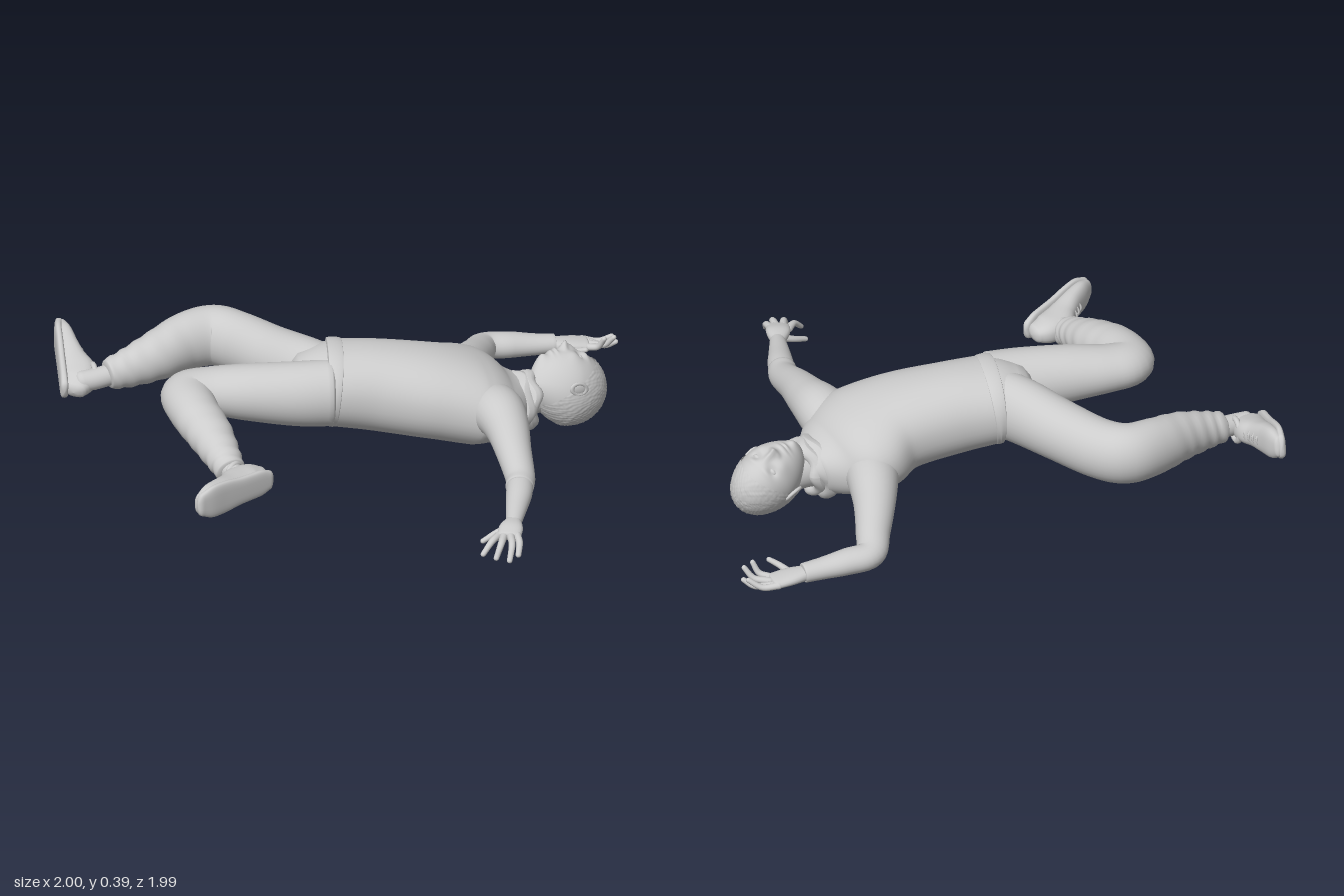
import * as THREE from 'three';

const mat = new THREE.MeshStandardMaterial({ color: 0xcccccc, roughness: 0.8, side: THREE.DoubleSide });
const V = (a) => new THREE.Vector3(a[0], a[1], a[2]);

function add(parent, name, geo) {
  const m = new THREE.Mesh(geo, mat);
  m.name = name;
  parent.add(m);
  return m;
}

// Smooth skin over elliptical sections [x, y, z, halfWidth, halfHeight], with rounded ends
function loft(secs, { n = 28, steps = 7, up = [0, 1, 0], pow = 2, cap = 0.6, fold = null } = {}) {
  const path = new THREE.CatmullRomCurve3(secs.map(V), false, 'catmullrom');
  const size = new THREE.CatmullRomCurve3(secs.map((s) => new THREE.Vector3(s[3], s[4], 0)), false, 'catmullrom');
  const rings = [];
  const total = (secs.length - 1) * steps;
  const ring = (u, angle, sign) => {
    const s = size.getPoint(u), t = path.getTangent(u);
    const c = path.getPoint(u).addScaledVector(t, sign * Math.sin(angle) * Math.min(s.x, s.y) * cap);
    const k = Math.max(Math.cos(angle), 0.002);
    rings.push({ u, c, t, a: s.x * k, b: s.y * k });
  };
  for (let k = 4; k > 0; k--) ring(0, (k / 4) * Math.PI / 2, -1);
  for (let j = 0; j <= total; j++) ring(j / total, 0, 0);
  for (let k = 1; k <= 4; k++) ring(1, (k / 4) * Math.PI / 2, 1);

  const pos = [], idx = [];
  rings.forEach((r, j) => {
    const side = r.t.clone().cross(V(up)).normalize();
    const nrm = side.clone().cross(r.t);
    for (let i = 0; i < n; i++) {
      const q = (i / n) * Math.PI * 2;
      const f = fold ? 1 + fold(r.u, q) : 1;
      const e = (v) => Math.sign(v) * Math.abs(v) ** (2 / pow) * f;
      const p = r.c.clone().addScaledVector(side, r.a * e(Math.cos(q))).addScaledVector(nrm, r.b * e(Math.sin(q)));
      pos.push(p.x, p.y, p.z);
      if (j < rings.length - 1) {
        const i2 = (i + 1) % n, a = j * n + i, b = a + n, c = (j + 1) * n + i2, d = j * n + i2;
        idx.push(a, b, d, b, c, d);
      }
    }
  });
  const g = new THREE.BufferGeometry();
  g.setAttribute('position', new THREE.Float32BufferAttribute(pos, 3));
  g.setIndex(idx);
  g.computeVertexNormals();
  return g;
}

// Group whose local +y and +z point along the given directions
function oriented(name, origin, up, front) {
  const g = new THREE.Group();
  g.name = name;
  const z = V(front).normalize();
  const x = V(up).cross(z).normalize();
  g.quaternion.setFromRotationMatrix(new THREE.Matrix4().makeBasis(x, z.clone().cross(x), z));
  g.position.copy(V(origin));
  return g;
}

// Gathered cloth, strongest near the end of a limb
const gathers = (u, q) => 0.05 * Math.max(0, u - 0.6) * 2.5 * Math.sin(u * 85 + 1.5 * Math.sin(q * 2));

// Shoe: length along z from the heel, sole on y = 0
function shoe(name, heel, up, front) {
  const g = oriented(name, heel, up, front);
  const prof = [[0.015, 0.09, 0.03], [0.05, 0.118, 0.041], [0.1, 0.125, 0.043], [0.15, 0.1, 0.045],
    [0.21, 0.078, 0.052], [0.27, 0.062, 0.052], [0.315, 0.045, 0.036]];
  add(g, 'shoeUpper', loft(prof.map(([z, h, w]) => [0, h / 2 + 0.004, z, w, h / 2 - 0.004]), { pow: 2.4, cap: 0.7 }));
  add(g, 'shoeSole', loft(prof.map(([z, h, w]) => [0, 0.013 + (z > 0.3 ? 0.005 : 0), z, w + 0.005, 0.014]), { pow: 3, cap: 1.2 }));
  for (let i = 0; i < 4; i++) {
    const z = 0.145 + i * 0.022, h = 0.104 - i * 0.0085;
    add(g, 'lace', new THREE.TubeGeometry(new THREE.CatmullRomCurve3(
      [V([-0.026, h - 0.012, z]), V([0, h + 0.002, z + 0.005]), V([0.026, h - 0.012, z])]), 8, 0.004, 6));
  }
  const collar = add(g, 'shoeCollar', new THREE.TorusGeometry(0.038, 0.01, 10, 28));
  collar.position.set(0, 0.116, 0.075);
  collar.rotation.x = Math.PI / 2 + 0.12;
  return g;
}

// Hand: palm sections plus fingers given as base, middle and tip
function hand(name, palm, fingers) {
  const g = new THREE.Group();
  g.name = name;
  add(g, 'palm', loft(palm, { n: 20, pow: 2.3 }));
  fingers.forEach((f, i) => add(g, i ? 'finger' : 'thumb',
    loft(f.map((p, k) => [...p, 0.0135 - k * 0.002, 0.0125 - k * 0.002]), { n: 12, steps: 5, cap: 1 })));
  return g;
}

function buildHead() {
  const g = oriented('head', [0.345, 0.152, -0.535], [0.25, -0.4, -0.88], [-0.25, 0.87, -0.42]);
  // Sculpted face: [x, y, spreadX, spreadY, depth], mirrored in x
  const bumps = [[0, -0.012, 0.011, 0.026, 0.016], [0, -0.03, 0.014, 0.011, 0.02], [0.017, -0.034, 0.008, 0.008, 0.007],
    [0.038, 0.014, 0.018, 0.012, -0.013], [0.035, 0.038, 0.022, 0.008, 0.005], [0, -0.067, 0.022, 0.006, 0.011],
    [0, -0.081, 0.02, 0.006, 0.011], [0, -0.074, 0.025, 0.003, -0.005], [0, -0.118, 0.025, 0.018, 0.02],
    [0.055, -0.02, 0.02, 0.02, 0.006]];
  const skull = new THREE.SphereGeometry(1, 120, 90);
  const p = skull.attributes.position;
  for (let i = 0; i < p.count; i++) {
    let x = p.getX(i) * 0.1, y = p.getY(i) * 0.143, z = p.getZ(i) * 0.125;
    const low = Math.max(0, -y / 0.143);
    x *= 1 - 0.25 * low ** 1.5;
    if (z < 0) z *= 1 - 0.35 * low;
    else {
      const front = Math.min(1, z / 0.05);
      for (const [bx, by, sx, sy, d] of bumps)
        for (const s of bx ? [-1, 1] : [1])
          z += front * d * Math.exp(-(((x - s * bx) / sx) ** 2) - ((y - by) / sy) ** 2);
    }
    p.setXYZ(i, x, y, z);
  }
  skull.computeVertexNormals();
  add(g, 'face', skull);

  // Short curly hair
  const hair = new THREE.SphereGeometry(1, 120, 60, 0, Math.PI * 2, 0, Math.PI * 0.53);
  hair.rotateX(-0.68);
  const h = hair.attributes.position;
  for (let i = 0; i < h.count; i++) {
    const x = h.getX(i), y = h.getY(i), z = h.getZ(i);
    const r = 1.035 + 0.015 * Math.sin(x * 41 + 2 * Math.sin(z * 17)) * Math.sin(y * 43 + x * 9) * Math.sin(z * 39);
    h.setXYZ(i, x * 0.1 * r, y * 0.143 * r, z * 0.125 * r * (z < 0 ? 1 - 0.25 * Math.max(0, -y) : 1));
  }
  hair.computeVertexNormals();
  add(g, 'hair', hair);

  for (const s of [-1, 1]) {
    const eye = add(g, 'eye', new THREE.SphereGeometry(0.015, 20, 14));
    eye.position.set(s * 0.037, 0.013, 0.094);
    eye.scale.set(1.1, 0.7, 1);
    const ear = new THREE.Group();
    ear.name = 'ear';
    add(ear, 'earRim', new THREE.TorusGeometry(0.019, 0.006, 10, 24));
    add(ear, 'earBowl', new THREE.SphereGeometry(0.018, 16, 12)).scale.z = 0.35;
    ear.position.set(s * 0.102, -0.015, -0.004);
    ear.rotation.y = s * (Math.PI / 2 + 0.3);
    ear.scale.y = 1.45;
    g.add(ear);
  }
  return g;
}

export function createModel() {
  const model = new THREE.Group();
  model.name = 'lyingFigure';

  // Sweater with hem and rolled neck
  add(model, 'sweaterBody', loft([[-0.06, 0.265, 0.155, 0.166, 0.136], [0.035, 0.25, 0.04, 0.163, 0.146],
    [0.15, 0.222, -0.1, 0.187, 0.148], [0.21, 0.185, -0.22, 0.228, 0.142], [0.25, 0.15, -0.305, 0.185, 0.112],
    [0.28, 0.135, -0.38, 0.1, 0.085]], { n: 48, steps: 10, pow: 2.15, cap: 0.1 }));
  add(model, 'sweaterHem', loft([[-0.066, 0.265, 0.162, 0.168, 0.138], [-0.055, 0.265, 0.149, 0.17, 0.14],
    [-0.044, 0.263, 0.136, 0.167, 0.138]], { n: 48, pow: 2.15, cap: 0.05 }));
  [[0.285, 0.125, -0.355, 0.085, 0.03], [0.3, 0.135, -0.385, 0.08, 0.022]].forEach(([x, y, z, r, t], k) => {
    const holder = oriented('neckFold', [x, y, z], [0, 1, 0.25], [0.42, -0.05 + 0.12 * k, -0.9]);
    const geo = new THREE.TorusGeometry(r, t, 14, 60);
    const p = geo.attributes.position;
    for (let i = 0; i < p.count; i++) {
      const q = Math.atan2(p.getY(i), p.getX(i));
      p.setZ(i, p.getZ(i) * 1.3 + 0.009 * Math.sin(q * 5 + k * 2) + 0.02 * Math.sin(q));
    }
    geo.computeVertexNormals();
    add(holder, 'fold', geo);
    model.add(holder);
  });
  add(model, 'neck', loft([[0.27, 0.13, -0.35, 0.065, 0.065], [0.295, 0.14, -0.42, 0.06, 0.062], [0.325, 0.14, -0.49, 0.06, 0.065]]));
  model.add(buildHead());

  // Arms
  add(model, 'leftSleeve', loft([[0.3, 0.18, -0.21, 0.1, 0.09], [0.4, 0.208, -0.175, 0.09, 0.085], [0.49, 0.2, -0.13, 0.074, 0.07],
    [0.59, 0.175, -0.065, 0.06, 0.057], [0.69, 0.14, 0, 0.05, 0.047], [0.73, 0.133, 0.04, 0.047, 0.044]], { cap: 0.1 }));
  add(model, 'leftForearm', loft([[0.68, 0.14, -0.01, 0.042, 0.04], [0.75, 0.13, 0.06, 0.044, 0.04],
    [0.81, 0.12, 0.13, 0.036, 0.032], [0.875, 0.112, 0.205, 0.025, 0.021]]));
  add(model, 'rightSleeve', loft([[0.14, 0.16, -0.26, 0.1, 0.09], [0.055, 0.155, -0.35, 0.085, 0.082], [-0.02, 0.135, -0.44, 0.07, 0.067],
    [-0.09, 0.105, -0.54, 0.058, 0.055], [-0.143, 0.082, -0.625, 0.051, 0.045], [-0.105, 0.075, -0.7, 0.049, 0.043],
    [-0.06, 0.068, -0.77, 0.041, 0.036], [-0.022, 0.064, -0.83, 0.036, 0.032]], { cap: 0.1 }));

  model.add(hand('leftHand', [[0.865, 0.113, 0.195, 0.025, 0.02], [0.895, 0.115, 0.235, 0.04, 0.02], [0.922, 0.108, 0.27, 0.04, 0.016]], [
    [[0.875, 0.108, 0.225], [0.853, 0.09, 0.265], [0.84, 0.072, 0.312]],
    [[0.89, 0.105, 0.285], [0.902, 0.1, 0.33], [0.903, 0.068, 0.37]],
    [[0.912, 0.108, 0.285], [0.94, 0.1, 0.325], [0.945, 0.062, 0.35]],
    [[0.93, 0.11, 0.27], [0.968, 0.102, 0.3], [0.988, 0.062, 0.33]],
    [[0.94, 0.11, 0.25], [0.972, 0.1, 0.27], [0.99, 0.07, 0.292]]]));
  model.add(hand('rightHand', [[-0.035, 0.064, -0.81, 0.027, 0.022], [0.002, 0.06, -0.865, 0.042, 0.02], [0.035, 0.055, -0.92, 0.043, 0.016]], [
    [[0.02, 0.06, -0.85], [0.065, 0.065, -0.842], [0.105, 0.08, -0.853]],
    [[0.005, 0.055, -0.93], [0.045, 0.05, -0.966], [0.085, 0.075, -0.99]],
    [[0.025, 0.052, -0.935], [0.075, 0.045, -0.968], [0.11, 0.065, -0.985]],
    [[0.045, 0.055, -0.925], [0.092, 0.06, -0.95], [0.125, 0.095, -0.962]],
    [[0.06, 0.055, -0.905], [0.095, 0.065, -0.92], [0.118, 0.1, -0.925]]]));

  // Trousers
  add(model, 'hips', loft([[0, 0.262, 0.08, 0.15, 0.125], [-0.06, 0.263, 0.155, 0.163, 0.131], [-0.105, 0.258, 0.212, 0.135, 0.115]], { n: 40, cap: 0.6 }));
  add(model, 'rightTrouserLeg', loft([[-0.06, 0.265, 0.15, 0.098, 0.118], [-0.18, 0.262, 0.155, 0.098, 0.116], [-0.34, 0.25, 0.152, 0.096, 0.106],
    [-0.5, 0.242, 0.152, 0.092, 0.104], [-0.595, 0.243, 0.18, 0.09, 0.104], [-0.635, 0.238, 0.27, 0.083, 0.1], [-0.65, 0.222, 0.39, 0.076, 0.085],
    [-0.675, 0.205, 0.49, 0.06, 0.068], [-0.7, 0.195, 0.56, 0.05, 0.052]], { n: 36, cap: 0.2, fold: gathers }));
  add(model, 'leftTrouserLeg', loft([[0, 0.268, 0.21, 0.1, 0.115], [-0.07, 0.27, 0.3, 0.1, 0.11], [-0.18, 0.278, 0.42, 0.096, 0.095],
    [-0.265, 0.283, 0.51, 0.088, 0.078], [-0.295, 0.283, 0.58, 0.09, 0.072], [-0.21, 0.272, 0.635, 0.084, 0.075], [-0.1, 0.245, 0.67, 0.078, 0.07],
    [0, 0.212, 0.705, 0.062, 0.058], [0.065, 0.192, 0.73, 0.05, 0.047]], { n: 36, cap: 0.2, fold: gathers }));

  // Ankles and shoes
  add(model, 'rightAnkle', loft([[-0.69, 0.195, 0.53, 0.036, 0.036], [-0.715, 0.188, 0.6, 0.036, 0.036], [-0.74, 0.185, 0.65, 0.036, 0.036]]));
  add(model, 'leftAnkle', loft([[0.03, 0.2, 0.715, 0.036, 0.036], [0.09, 0.188, 0.735, 0.036, 0.036], [0.14, 0.185, 0.74, 0.036, 0.036]]));
  model.add(shoe('rightShoe', [-0.755, 0.165, 0.725], [0.62, 0, -0.78], [-0.245, 0.085, -0.195]));
  model.add(shoe('leftShoe', [0.2, 0.18, 0.655], [-1, 0, 0], [-0.005, 0.045, 1]));
  return model;
}
